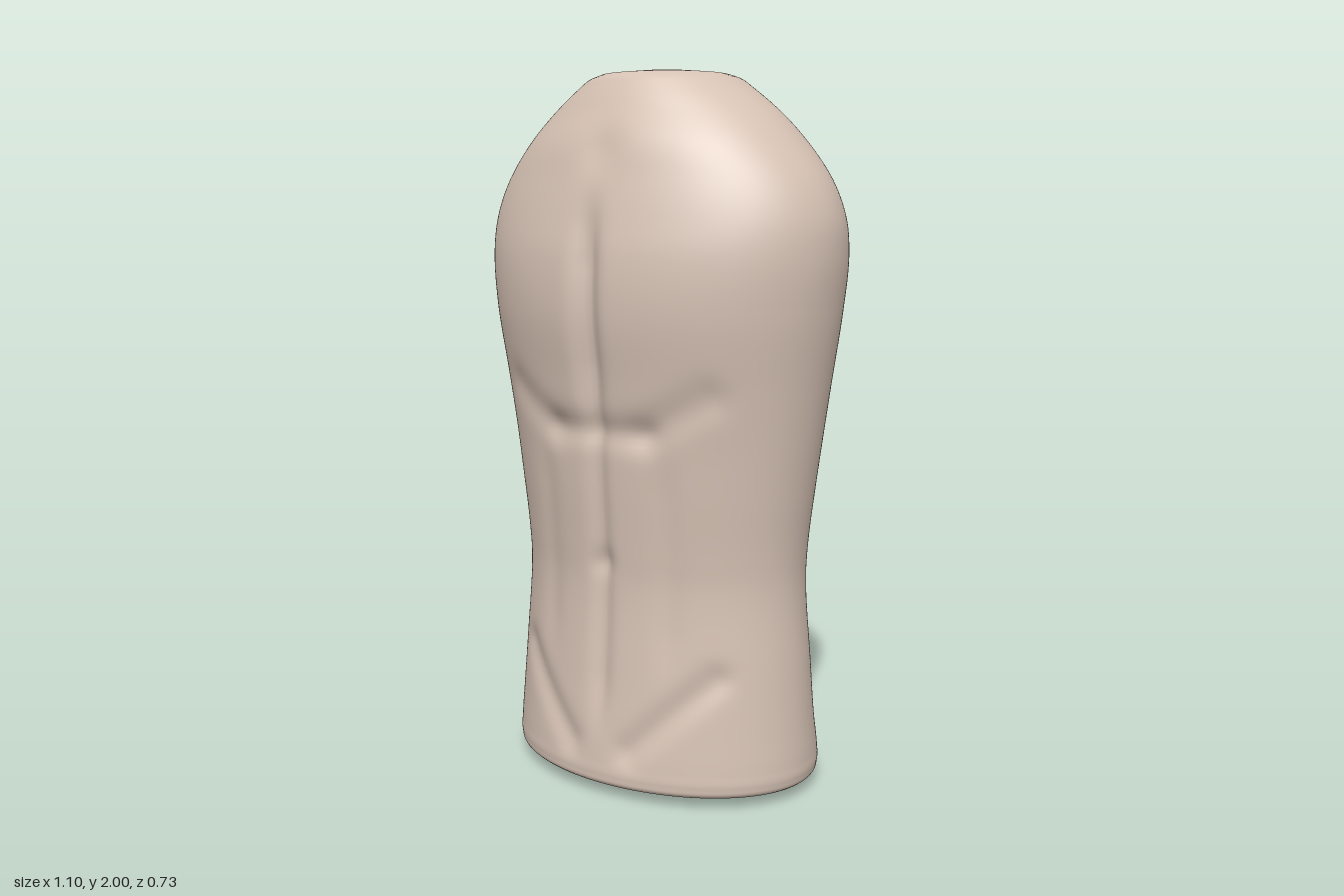
import * as THREE from 'three';

const SEG = 192;

// body profile: height, half width, front depth, back depth
const PROFILE = [
  [0.022, 0.430, 0.295, 0.315], [0.035, 0.465, 0.325, 0.345], [0.06, 0.477, 0.333, 0.356],
  [0.10, 0.477, 0.331, 0.352], [0.20, 0.470, 0.322, 0.325], [0.35, 0.459, 0.309, 0.313],
  [0.60, 0.441, 0.296, 0.300], [0.70, 0.446, 0.302, 0.305], [0.85, 0.464, 0.314, 0.319],
  [1.00, 0.485, 0.325, 0.333], [1.15, 0.507, 0.345, 0.347], [1.35, 0.538, 0.372, 0.362],
  [1.50, 0.552, 0.367, 0.370], [1.60, 0.543, 0.347, 0.357], [1.70, 0.502, 0.322, 0.332],
  [1.80, 0.425, 0.294, 0.302], [1.88, 0.345, 0.252, 0.259], [1.95, 0.252, 0.212, 0.223],
  [1.975, 0.212, 0.190, 0.205], [1.985, 0.180, 0.168, 0.183],
];

const bell = (d, s) => Math.exp(-(d * d) / (s * s));
const within = (y, lo, hi, soft) =>
  THREE.MathUtils.smoothstep(y, lo - soft, lo + soft) * (1 - THREE.MathUtils.smoothstep(y, hi - soft, hi + soft));

// soft crease around a line segment
function crease(x, y, [ax, ay, bx, by], s) {
  const dx = bx - ax, dy = by - ay;
  const t = THREE.MathUtils.clamp(((x - ax) * dx + (y - ay) * dy) / (dx * dx + dy * dy), 0, 1);
  return bell(Math.hypot(x - ax - t * dx, y - ay - t * dy), s);
}

// muscle relief of the chest and belly
function frontRelief(x, y) {
  const ax = Math.abs(x);
  let d = -0.036 * bell(x, 0.036) * within(y, 1.1, 1.58, 0.12); // breastbone groove
  d -= 0.018 * bell(x, 0.03) * within(y, 0.25, 1.1, 0.1); // belly midline
  d -= 0.014 * crease(ax, y, [0, 1.03, 0.15, 1.03], 0.04); // lower chest edge
  d -= 0.012 * crease(ax, y, [0.15, 1.03, 0.32, 1.13], 0.05);
  d -= 0.012 * bell(Math.hypot(x, y - 0.66), 0.035); // navel
  d -= 0.007 * bell(ax - 0.2, 0.04) * within(y, 0.4, 0.95, 0.1); // belly muscle edge
  d -= 0.015 * crease(ax, y, [0.1, 0.14, 0.32, 0.36], 0.04); // groin line
  d -= 0.012 * bell(Math.hypot(x, y - 1.78), 0.06); // throat notch
  return d;
}

// spine groove, fading out at the neck and the hips
const backRelief = (x, y) => -0.06 * bell(x, 0.065) * within(y, 0.24, 1.68, 0.1);

// smooth interpolation of the profile
const profileAt = new THREE.CubicInterpolant(
  PROFILE.map(p => p[0]), PROFILE.flatMap(p => p.slice(1)), 3, new Float32Array(3));

function ringAt(y) {
  const [w, f, b] = profileAt.evaluate(y);
  const ring = [];
  for (let i = 0; i < SEG; i++) {
    const a = (i / SEG) * Math.PI * 2, c = Math.cos(a), x = w * Math.sin(a);
    const relief = c > 0 ? frontRelief(x, y) : -backRelief(x, y);
    ring.push([x, y, c * (c > 0 ? f : b) + relief * Math.min(1, Math.abs(c) * 3)]);
  }
  return ring;
}

// skin between rings listed from bottom to top
function loft(rings) {
  const index = [];
  for (let r = 0; r < rings.length - 1; r++) {
    for (let i = 0; i < SEG; i++) {
      const j = (i + 1) % SEG, a = r * SEG + i, b = r * SEG + j;
      index.push(a, b, b + SEG, a, b + SEG, a + SEG);
    }
  }
  const g = new THREE.BufferGeometry();
  g.setAttribute('position', new THREE.Float32BufferAttribute(rings.flat(2), 3));
  g.setIndex(index);
  g.computeVertexNormals();
  return g;
}

// ring shrunk toward the centre and moved to another height
const shrink = (ring, s, y) => ring.map(p => [p[0] * s, y, p[2] * s]);

export function createModel() {
  const model = new THREE.Group();
  model.name = 'torso';
  const skin = new THREE.MeshStandardMaterial({ color: 0xd6c2b4 });
  skin.name = 'skin';

  const add = (name, rings) => {
    const mesh = new THREE.Mesh(loft(rings), skin);
    mesh.name = name;
    model.add(mesh);
  };

  // rings are closer together at the rounded ends
  const heights = [];
  const lo = PROFILE[0][0], hi = PROFILE[PROFILE.length - 1][0];
  for (let y = lo; y < 0.1; y += 0.006) heights.push(y);
  for (let y = 0.1; y < 1.94; y += 0.016) heights.push(y);
  for (let y = 1.944; y < hi; y += 0.006) heights.push(y);
  heights.push(hi);
  const rings = heights.map(ringAt);
  const bottom = rings[0], top = rings[rings.length - 1];

  add('body', rings);
  add('neckCap', [top, shrink(top, 0.5, 1.994), shrink(top, 0.001, 2)]);
  add('hipCap', [shrink(bottom, 0.001, 0), shrink(bottom, 0.5, 0.011), bottom]);
  return model;
}
